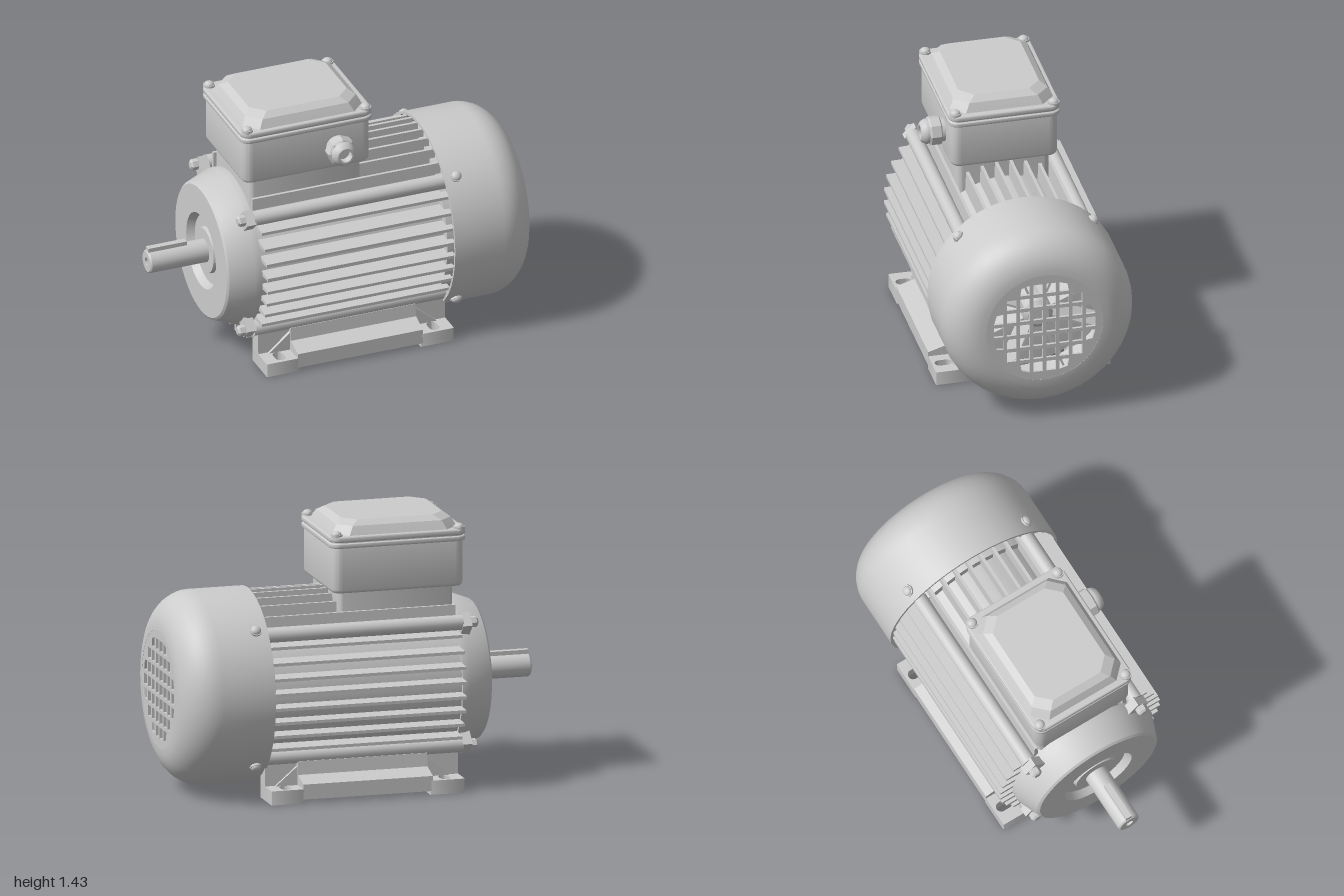
import * as THREE from 'three';
import { toCreasedNormals } from 'three/addons/utils/BufferGeometryUtils.js';

const AXIS_Y = 0.548;
const mat = new THREE.MeshStandardMaterial({ color: 0xcccccc });
const matDouble = new THREE.MeshStandardMaterial({ color: 0xcccccc, side: THREE.DoubleSide });

function add(parent, name, geo, material = mat) {
  const m = new THREE.Mesh(geo, material);
  m.name = name;
  parent.add(m);
  return m;
}

// Turned part along x, from [radius, x] points
function turned(pts, seg = 40) {
  const g = new THREE.LatheGeometry(pts.map(([r, x]) => new THREE.Vector2(r, x)), seg);
  return toCreasedNormals(g.rotateZ(-Math.PI / 2), 0.5);
}

// Section given as [z, y] points, extruded from x0 to x1
function prismX(pts, x0, x1) {
  const s = new THREE.Shape(pts.map(([z, y]) => new THREE.Vector2(-z, y)));
  return new THREE.ExtrudeGeometry(s, { depth: x1 - x0, bevelEnabled: false })
    .rotateY(Math.PI / 2).translate(x0, 0, 0);
}

function roundedRect(w, d, r) {
  const s = new THREE.Shape(), a = w / 2 - r, b = d / 2 - r;
  s.absarc(a, b, r, 0, Math.PI / 2);
  s.absarc(-a, b, r, Math.PI / 2, Math.PI);
  s.absarc(-a, -b, r, Math.PI, Math.PI * 1.5);
  s.absarc(a, -b, r, Math.PI * 1.5, Math.PI * 2);
  return s;
}

// Horizontal plate from y0 to y1, with an optional rounded edge
function plate(shape, y0, y1, bevel = 0) {
  const g = new THREE.ExtrudeGeometry(shape, {
    depth: y1 - y0 - 2 * bevel, bevelEnabled: bevel > 0, bevelThickness: bevel,
    bevelSize: bevel, bevelOffset: -bevel, bevelSegments: 3, curveSegments: 6,
  });
  return toCreasedNormals(g.rotateX(-Math.PI / 2).translate(0, y0 + bevel, 0), 0.6);
}

// Dome-headed screw pointing along +y, with a cross recess left between four pads
function screw(parent, name, r) {
  const g = new THREE.Group();
  g.name = name;
  add(g, 'screwWasher', new THREE.CylinderGeometry(r, r, r * 0.5, 16));
  add(g, 'screwHead', new THREE.SphereGeometry(r * 0.85, 16, 5, 0, Math.PI * 2, 0, Math.PI / 2)
    .scale(1, 0.7, 1).translate(0, r * 0.2, 0));
  parent.add(g);
  return g;
}

function buildBody(g) {
  add(g, 'statorCore', turned([[0, -0.53], [0.4, -0.53], [0.4, 0.54], [0, 0.54]], 48));
  // Parallel cooling fins on four sides, tips following a circle
  for (let side = 0; side < 4; side++) {
    for (let i = 0; i < 8; i++) {
      const o = (i - 3.5) * 0.077, tip = Math.sqrt(0.49 ** 2 - o * o);
      const fin = prismX([[o - 0.016, 0.26], [o + 0.016, 0.26], [o + 0.008, tip], [o - 0.008, tip]], -0.52, 0.53);
      add(g, 'coolingFin', fin.rotateX(side * Math.PI / 2));
    }
  }
  // Tie-bolt ribs, lugs and cover screws at the four corners
  for (const sy of [1, -1]) for (const sz of [1, -1]) {
    const y = sy * 0.325, z = sz * 0.325;
    add(g, 'boltRib', turned([[0, -0.54], [0.04, -0.54], [0.04, 0.53], [0, 0.53]], 16).translate(0, y, z));
    const lug = add(g, 'boltLug', new THREE.BoxGeometry(0.05, 0.1, 0.085));
    lug.position.set(-0.56, y * 0.95, z * 0.95);
    lug.rotation.x = -sy * sz * Math.PI / 4 + Math.PI / 2;
    add(g, 'boltHead', turned([[0, -0.625], [0.02, -0.625], [0.03, -0.615], [0.03, -0.58]], 6).translate(0, y, z));
    const s = screw(g, 'coverScrew', 0.032);
    s.position.set(0.585, sy * 0.361, sz * 0.361);
    s.rotation.x = Math.atan2(sz, sy);
  }
  // Drive-end shield with recessed bearing cap
  add(g, 'endShield', turned([[0, -0.675], [0.12, -0.675], [0.125, -0.655], [0.185, -0.655], [0.205, -0.695],
    [0.355, -0.695], [0.367, -0.685], [0.415, -0.56], [0.415, -0.52], [0.3, -0.52]], 48));
  add(g, 'shaft', turned([[0, -0.97], [0.022, -0.97], [0.022, -1], [0.055, -1], [0.0625, -0.992], [0.0625, -0.66]], 32));
  add(g, 'shaftKey', new THREE.BoxGeometry(0.215, 0.05, 0.034).translate(-0.888, 0.057, 0));
}

function buildCover(g) {
  const outer = [], inner = [];
  for (let i = 0; i <= 10; i++) {
    const a = i / 10 * Math.PI / 2, c = Math.cos(a), s = Math.sin(a);
    outer.push([0.31 + 0.2 * c, 0.8 + 0.2 * s]);
    inner.unshift([0.31 + 0.185 * c, 0.8 + 0.185 * s]);
  }
  add(g, 'fanCover', turned([[0.495, 0.52], [0.51, 0.52], ...outer, ...inner, [0.495, 0.52]], 40), matDouble);

  // Grille disc: square openings, corners kept inside a circle
  const disc = new THREE.Shape().absarc(0, 0, 0.315, 0, Math.PI * 2);
  [4, 6, 8, 8, 8, 6, 4].forEach((n, row) => {
    for (let c = 0; c < n; c++) {
      const x = (c - (n - 1) / 2) * 0.07, y = (row - 3) * 0.077;
      const corners = [[-1, -1], [-1, 1], [1, 1], [1, -1]].map(([a, b]) =>
        new THREE.Vector2(x + a * 0.0255, y + b * 0.0285).clampLength(0, 0.275));
      disc.holes.push(new THREE.Path(corners));
    }
  });
  add(g, 'fanGrille', new THREE.ExtrudeGeometry(disc, { depth: 0.015, bevelEnabled: false, curveSegments: 20 })
    .rotateY(Math.PI / 2).translate(0.984, 0, 0), matDouble);

  // Fan behind the grille
  add(g, 'rearShield', turned([[0, 0.5], [0.45, 0.5], [0.45, 0.57], [0, 0.6]]));
  add(g, 'fanHub', turned([[0.08, 0.59], [0.08, 0.85], [0.055, 0.87], [0, 0.87]], 24));
  for (let i = 0; i < 8; i++) {
    add(g, 'fanBlade', new THREE.BoxGeometry(0.18, 0.33, 0.012).translate(0.75, 0.23, 0)
      .rotateX((i + 0.5) * Math.PI / 4));
  }
}

function buildTerminalBox(g) {
  add(g, 'boxNeck', plate(roundedRect(0.62, 0.49, 0.03), 0.86, 1.07)).position.x = -0.21;
  const box = new THREE.Group();
  box.name = 'terminalBox';
  box.position.x = -0.213;
  g.add(box);
  add(box, 'boxBody', plate(roundedRect(0.71, 0.57, 0.05), 1.055, 1.32, 0.02));
  add(box, 'boxRim', plate(roundedRect(0.735, 0.595, 0.055), 1.298, 1.325, 0.007));
  add(box, 'gasket', plate(roundedRect(0.715, 0.575, 0.05), 1.315, 1.34));
  add(box, 'lidRim', plate(roundedRect(0.735, 0.595, 0.055), 1.33, 1.36, 0.007));
  // Raised lid: chamfered plate whose top edge is pulled inwards
  const w = 0.335, d = 0.277, c = 0.07;
  const lid = new THREE.ExtrudeGeometry(new THREE.Shape([[w, c - d], [w, d - c], [w - c, d], [c - w, d],
    [-w, d - c], [-w, c - d], [c - w, -d], [w - c, -d]].map(p => new THREE.Vector2(...p))),
  { depth: 0.075, steps: 3, bevelEnabled: false }).rotateX(-Math.PI / 2);
  const p = lid.attributes.position;
  for (let i = 0; i < p.count; i++) {
    const inset = [0, 0.012, 0.025, 0.062][Math.round(p.getY(i) / 0.025)];
    p.setX(i, p.getX(i) - Math.sign(p.getX(i)) * inset);
    p.setZ(i, p.getZ(i) - Math.sign(p.getZ(i)) * inset);
  }
  add(box, 'lidTop', toCreasedNormals(lid.translate(0, 1.356, 0), 0.3));
  for (const sx of [-1, 1]) for (const sz of [-1, 1]) {
    screw(box, 'lidScrew', 0.031).position.set(sx * 0.331, 1.363, sz * 0.262);
  }
  // Cable gland facing the front
  const gland = new THREE.Group();
  gland.name = 'cableGland';
  gland.position.set(-0.05, 1.182, 0);
  gland.rotation.y = -Math.PI / 2;
  g.add(gland);
  add(gland, 'glandThread', turned([[0, 0.27], [0.062, 0.27], [0.062, 0.31], [0, 0.31]], 24));
  add(gland, 'glandNut', turned([[0, 0.303], [0.07, 0.303], [0.078, 0.31], [0.078, 0.36], [0.07, 0.368], [0, 0.368]], 8));
  add(gland, 'glandCap', turned([[0.065, 0.36], [0.066, 0.382], [0.058, 0.4], [0.045, 0.411], [0.034, 0.411],
    [0.034, 0.37], [0, 0.37]], 24));
}

function buildFoot(g, angle) {
  const foot = new THREE.Group();
  foot.name = 'foot';
  foot.position.x = 0.0075;
  foot.rotation.y = angle;
  g.add(foot);
  // Central rail and the web reaching the body
  add(foot, 'footRail', prismX([[0.262, 0.02], [0.465, 0.02], [0.465, 0.1], [0.368, 0.13], [0.36, 0.2], [0.27, 0.2]], -0.35, 0.35));
  add(foot, 'footWeb', prismX([[0.262, 0.06], [0.345, 0.06], [0.34, 0.29], [0.275, 0.29]], -0.5225, 0.5225));
  for (const s of [-1, 1]) {
    // Slotted pad
    const pad = roundedRect(0.185, 0.205, 0.006);
    const slot = new THREE.Path();
    slot.absarc(0, -0.058, 0.028, 0, Math.PI, true);
    slot.absarc(0, -0.022, 0.028, Math.PI, 0, true);
    slot.curves.length = 0;
    slot.currentPoint.set(0, 0);
    slot.absarc(0, -0.024, 0.027, 0, Math.PI);
    slot.absarc(0, -0.06, 0.027, Math.PI, Math.PI * 2);
    pad.holes.push(slot);
    add(foot, 'footPad', plate(pad, 0, 0.075)).position.set(s * 0.43, 0, 0.3625);
    // Sloping gusset beside the pad
    const tri = new THREE.Shape([[0, 0.07], [0.13, 0.07], [0, 0.18]].map(([x, y]) => new THREE.Vector2(s * x, y)));
    add(foot, 'footGusset', new THREE.ExtrudeGeometry(tri, { depth: 0.04, bevelEnabled: false }))
      .position.set(s * 0.345, 0, 0.32);
  }
}

export function createModel() {
  const root = new THREE.Group();
  root.name = 'electricMotor';
  const drive = new THREE.Group();
  drive.name = 'motorBody';
  drive.position.y = AXIS_Y;
  root.add(drive);
  buildBody(drive);
  buildCover(drive);
  buildTerminalBox(root);
  for (const angle of [0, Math.PI]) buildFoot(root, angle);
  return root;
}
